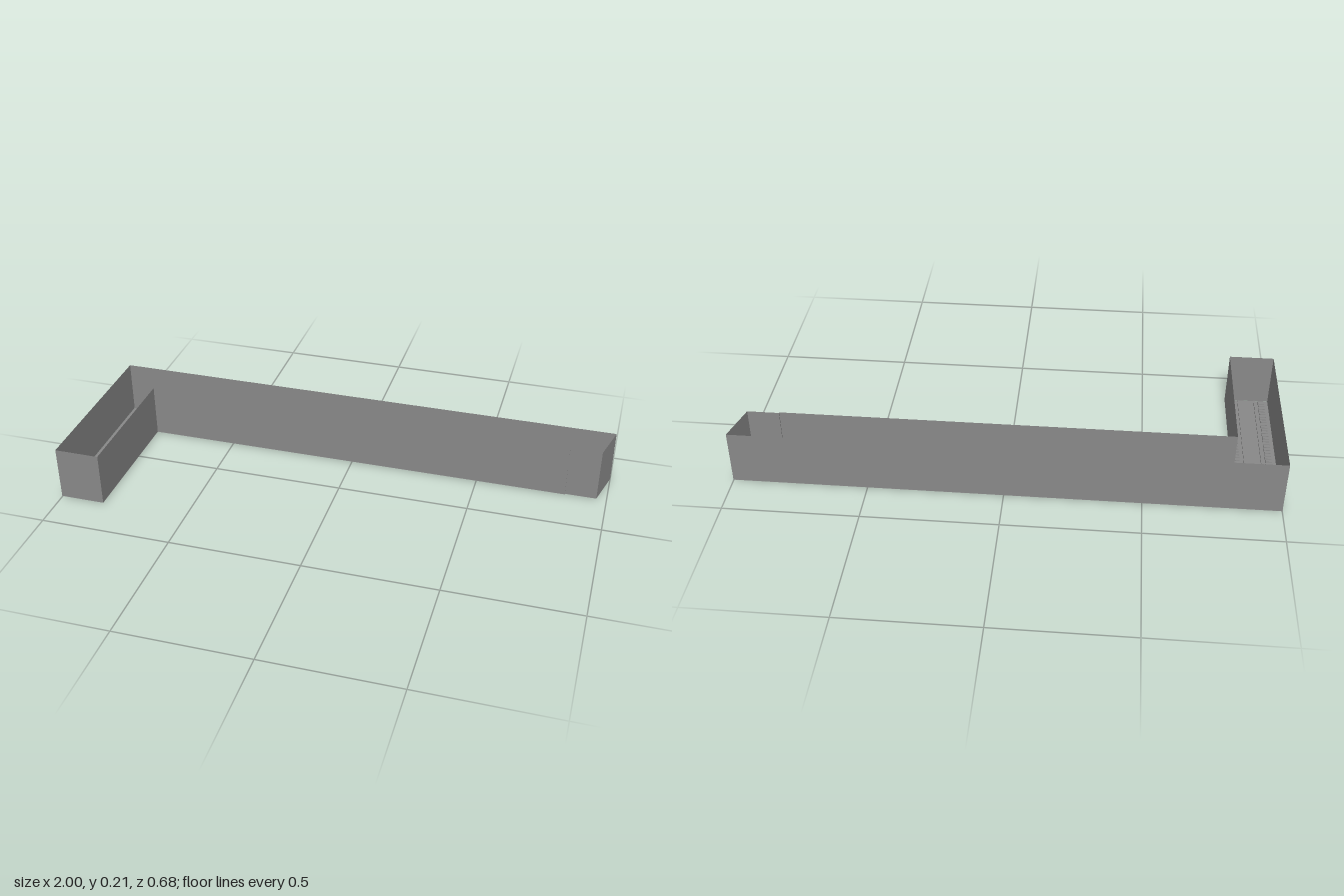
import * as THREE from 'three';
import { mergeGeometries } from 'three/addons/utils/BufferGeometryUtils.js';

const TOP = 0.21, WALL_BASE = 0.004, FLOOR = 0.003;

// footprint as [x, z], walked around the L, with a small step in the front wall
const OUTLINE = [
  [-1, -0.34], [1, -0.34], [0.962, -0.192], [0.843, -0.192], [0.843, -0.188],
  [-0.83, -0.188], [-0.83, 0.34], [-1, 0.34],
];

// path of straight runs with rounded corners; points are [x, z, radius]
function roundedPath(points) {
  const path = new THREE.CurvePath();
  const v = points.map(([x, z]) => new THREE.Vector3(x, 0, z));
  let from = v[0];
  for (let i = 1; i < v.length - 1; i++) {
    const r = points[i][2];
    const a = v[i].clone().add(v[i - 1].clone().sub(v[i]).setLength(r));
    const b = v[i].clone().add(v[i + 1].clone().sub(v[i]).setLength(r));
    path.add(new THREE.LineCurve3(from, a));
    path.add(new THREE.QuadraticBezierCurve3(a, v[i], b));
    from = b;
  }
  path.add(new THREE.LineCurve3(from, v[v.length - 1]));
  return path;
}

// slabs laid end to end along a path, skipping the gaps given as [x0, x1]
function pavers(path, width, pitch, fill, y0, y1, gaps = []) {
  const parts = [];
  const n = Math.round(path.getLength() / pitch);
  const step = path.getLength() / n;
  for (let i = 0; i < n; i++) {
    const t = (i + 0.5) / n;
    const p = path.getPointAt(t), d = path.getTangentAt(t);
    if (p.z < -0.2 && gaps.some(([a, b]) => p.x > a && p.x < b)) continue;
    const g = new THREE.BoxGeometry(step * fill, y1 - y0, width);
    g.rotateY(Math.atan2(-d.z, d.x));
    g.translate(p.x, (y0 + y1) / 2, p.z);
    parts.push(g);
  }
  return mergeGeometries(parts);
}

export function createModel() {
  const model = new THREE.Group();
  const material = new THREE.MeshStandardMaterial({
    color: 0x888888, side: THREE.DoubleSide, flatShading: true,
  });
  const add = (name, geometry) => {
    const mesh = new THREE.Mesh(geometry, material);
    mesh.name = name;
    model.add(mesh);
  };

  // thin walls, open at the top
  const walls = OUTLINE.map(([x0, z0], i) => {
    const [x1, z1] = OUTLINE[(i + 1) % OUTLINE.length];
    const g = new THREE.PlaneGeometry(Math.hypot(x1 - x0, z1 - z0), TOP - WALL_BASE);
    g.rotateY(Math.atan2(-(z1 - z0), x1 - x0) + Math.PI);
    g.translate((x0 + x1) / 2, (TOP + WALL_BASE) / 2, (z0 + z1) / 2);
    return g;
  });
  add('walls', mergeGeometries(walls));

  // ground sheet
  const shape = new THREE.Shape(OUTLINE.map(([x, z]) => new THREE.Vector2(x, -z)));
  const floor = new THREE.ShapeGeometry(shape);
  floor.rotateX(-Math.PI / 2);
  floor.translate(0, FLOOR, 0);
  add('floor', floor);

  // paved strips on both sides of the lane
  const outer = roundedPath([[-0.973, 0.33], [-0.973, -0.307, 0.06], [0.87, -0.307, 0.1], [0.915, -0.2]]);
  add('outerPaving', pavers(outer, 0.024, 0.018, 0.75, 0, 0.01,
    [[-0.76, -0.7], [0.2, 0.255], [0.365, 0.39]]));
  const inner = roundedPath([[-0.852, 0.33], [-0.852, -0.233, 0.02], [0.76, -0.233]]);
  add('innerPaving', pavers(inner, 0.026, 0.018, 0.75, 0, 0.01,
    [[0.1, 0.13], [0.2, 0.23], [0.3, 0.33], [0.46, 0.49]]));

  // lane kerbs
  const outerKerb = roundedPath([[-0.947, 0.335], [-0.947, -0.29, 0.06], [0.84, -0.29, 0.09], [0.885, -0.2]]);
  const innerKerb = roundedPath([[-0.883, 0.335], [-0.883, -0.252, 0.04], [0.81, -0.252, 0.05], [0.84, -0.2]]);
  add('outerKerb', pavers(outerKerb, 0.005, 0.02, 1.04, 0.001, 0.009));
  add('innerKerb', pavers(innerKerb, 0.005, 0.02, 1.04, 0.001, 0.009));
  return model;
}
